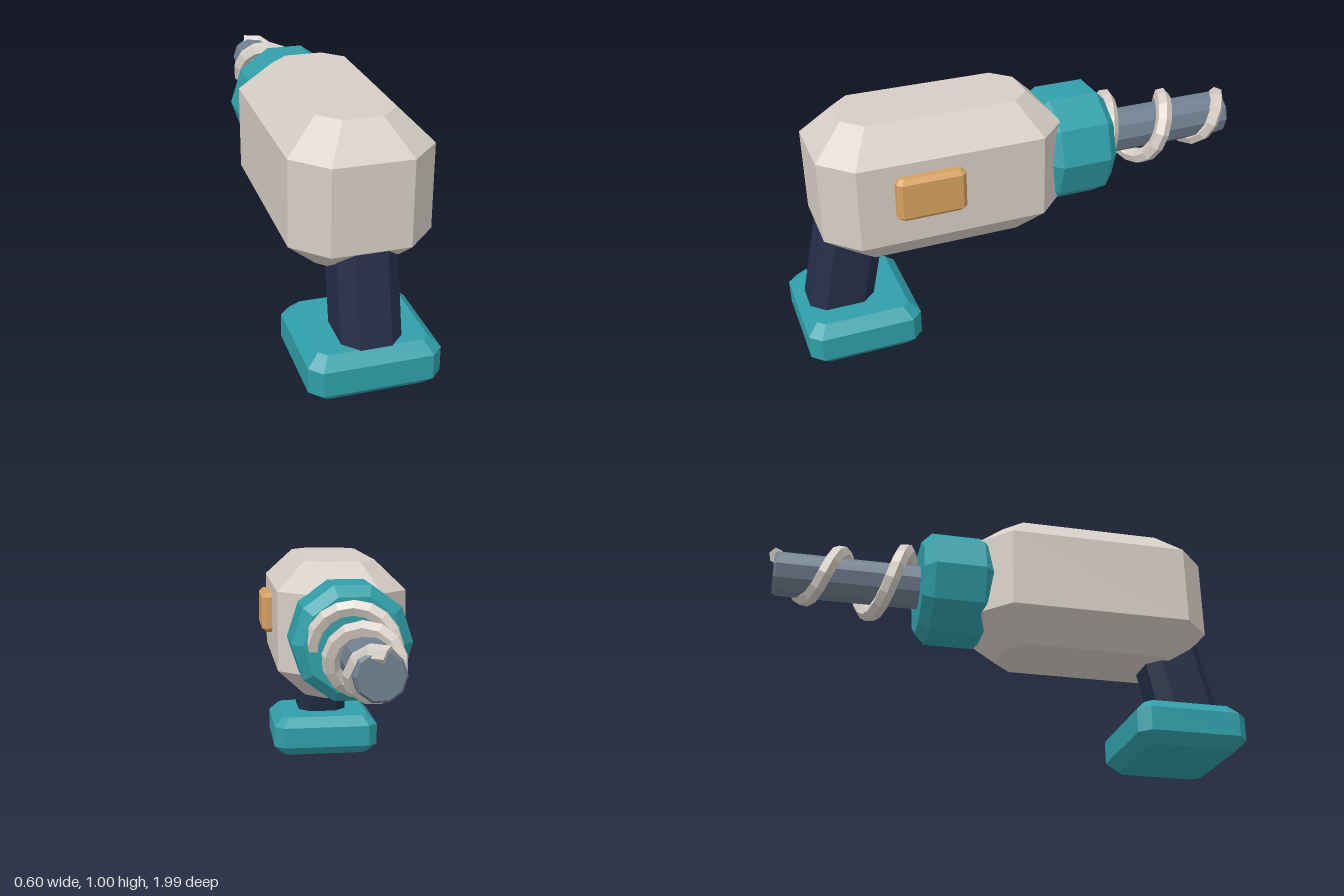
import * as THREE from 'three';
import { ConvexGeometry } from 'three/addons/geometries/ConvexGeometry.js';

const CX = -0.025; // centre line of the tool
const AXIS_Y = 0.71; // height of the drilling axis

// Rectangle with cut corners, in the horizontal plane at height y
function octagon(x0, x1, z0, z1, cut, y) {
  return [
    [x0 + cut, z0], [x1 - cut, z0], [x1, z0 + cut], [x1, z1 - cut],
    [x1 - cut, z1], [x0 + cut, z1], [x0, z1 - cut], [x0, z0 + cut],
  ].map(([x, z]) => new THREE.Vector3(x, y, z));
}

// Box with every edge and corner chamfered by c
function chamferBox(x0, x1, y0, y1, z0, z1, c) {
  const outer = (y) => octagon(x0, x1, z0, z1, c, y);
  const inner = (y) => octagon(x0 + c, x1 - c, z0 + c, z1 - c, c * 0.62, y);
  return new ConvexGeometry([...inner(y0), ...outer(y0 + c), ...outer(y1 - c), ...inner(y1)]);
}

// Faceted normals
function faceted(geometry) {
  const g = geometry.toNonIndexed();
  g.computeVertexNormals();
  return g;
}

// Ten-sided turned part along -z; profile points are [radius, distance]
function turned(profile) {
  const points = profile.map(([r, d]) => new THREE.Vector2(r, d));
  const g = new THREE.LatheGeometry(points, 10, Math.PI / 2);
  g.rotateX(-Math.PI / 2).translate(CX, AXIS_Y, 0);
  return faceted(g);
}

// Tapering spiral around the bit
class Spiral extends THREE.Curve {
  getPoint(t, target = new THREE.Vector3()) {
    const z = THREE.MathUtils.lerp(-0.32, -0.963, t);
    const run = -0.4 - z;
    const angle = Math.PI / 2 + (run / 0.275) * Math.PI * 2;
    const r = 0.155 - 0.14 * run;
    return target.set(CX + r * Math.cos(angle), AXIS_Y + r * Math.sin(angle), z);
  }
}

export function createModel() {
  const model = new THREE.Group();
  const material = (name, color) => {
    const m = new THREE.MeshStandardMaterial({ color });
    m.name = name;
    return m;
  };
  const cream = material('cream', 0xd6cec5);
  const teal = material('teal', 0x2f9fa9);
  const navy = material('navy', 0x232e47);
  const amber = material('amber', 0xd6a05e);
  const steel = material('steel', 0x708090);

  const add = (name, geometry, mat) => {
    const mesh = new THREE.Mesh(geometry, mat);
    mesh.name = name;
    model.add(mesh);
    return mesh;
  };

  // Housing, battery foot and side button
  add('housing', chamferBox(-0.3, 0.25, 0.418, 1.005, -0.12, 0.887, 0.123), cream);
  add('batteryFoot', chamferBox(-0.28, 0.23, 0, 0.19, 0.53, 1, 0.045), teal);
  add('sideButton', chamferBox(0.2, 0.295, 0.653, 0.832, 0.342, 0.62, 0.018), amber);

  // Leaning grip
  const gripRing = (y) => {
    const lean = -0.215 * (y - 0.19);
    return octagon(-0.14, 0.093, 0.69 + lean, 0.957 + lean, 0.054, y);
  };
  add('grip', new ConvexGeometry([...gripRing(0.1), ...gripRing(0.6)]), navy);

  // Chuck and bit
  add('chuck', turned([[0, 0.055], [0.2, 0.055], [0.245, 0.1], [0.245, 0.312], [0.2, 0.356], [0, 0.356]]), teal);
  add('bitShaft', turned([[0, 0.3], [0.095, 0.3], [0.095, 0.955], [0.085, 0.967], [0, 0.967]]), steel);

  // Spiral flute with closed ends
  const spiral = new Spiral();
  const radius = 0.035;
  add('spiralFlute', faceted(new THREE.TubeGeometry(spiral, 32, radius, 6)), cream);
  for (const t of [0, 1]) {
    const cap = add('spiralEnd', new THREE.CircleGeometry(radius, 6), cream);
    const direction = spiral.getTangent(t).multiplyScalar(t ? 1 : -1);
    cap.position.copy(spiral.getPoint(t));
    cap.quaternion.setFromUnitVectors(new THREE.Vector3(0, 0, 1), direction);
  }

  return model;
}
